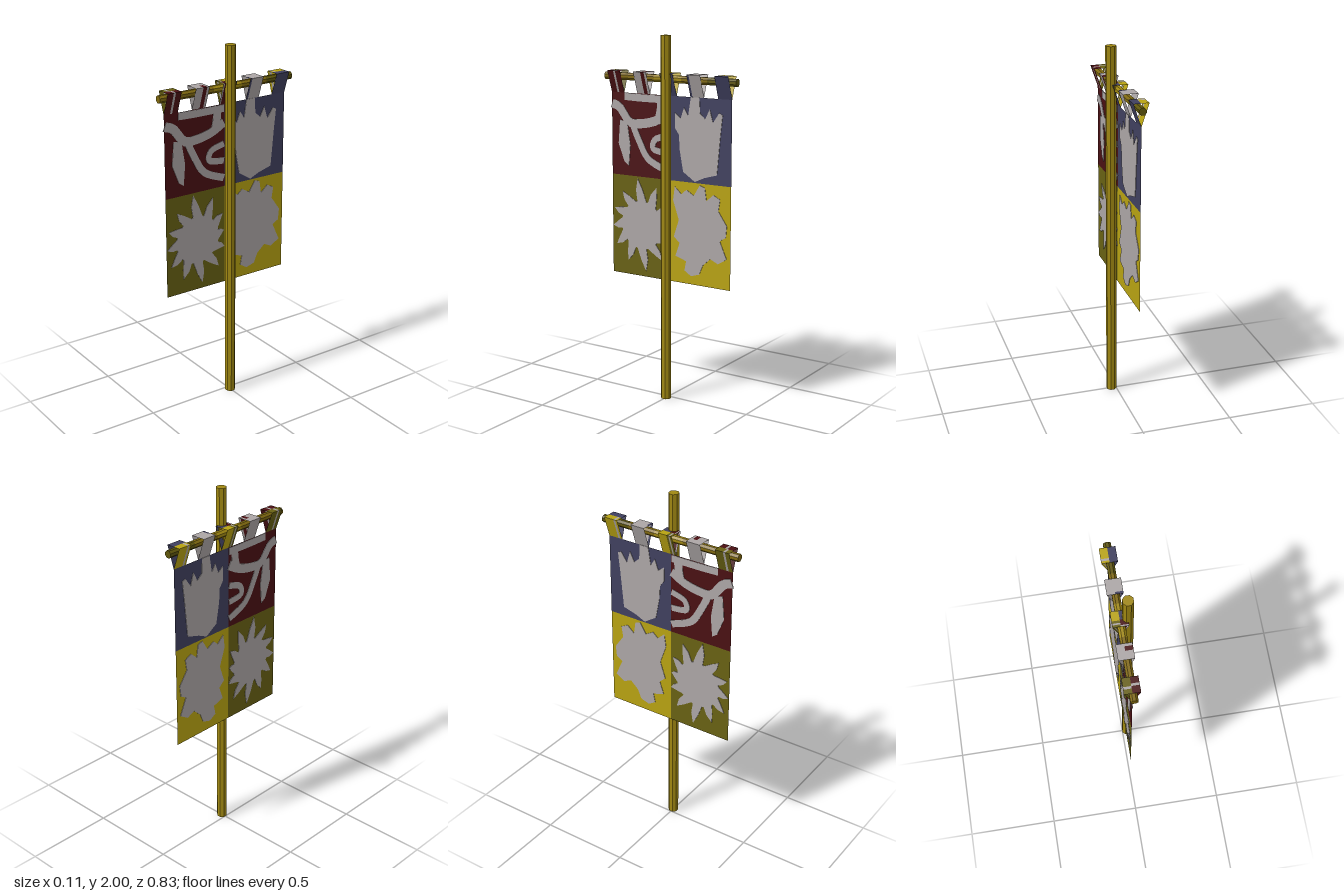
import * as THREE from 'three';

const paint = (name, color, side = THREE.DoubleSide) => {
  const m = new THREE.MeshStandardMaterial({ color, side });
  m.name = name;
  return m;
};

const CLOTH_X = -0.014, TOP = 1.8, CLOTH_TOP = 1.68, MIDDLE = 1.225, BOTTOM = 0.665;
const HALF = 0.383, SEAM = -0.01;

// Flat cloth outlines use (s, y) in hundredths of a unit; s runs towards -z.
const outline = (pts) => new THREE.Shape(pts.map(([s, y]) => new THREE.Vector2(s / 100, y / 100)));

// Outline of a curved band of constant width through the given points.
function ribbon(pts, width) {
  const curve = new THREE.SplineCurve(pts.map(([s, y]) => new THREE.Vector2(s, y)));
  const a = [], b = [];
  for (let i = 0; i <= 14; i++) {
    const p = curve.getPoint(i / 14), t = curve.getTangent(i / 14);
    a.push([p.x - t.y * width / 2, p.y + t.x * width / 2]);
    b.unshift([p.x + t.y * width / 2, p.y - t.x * width / 2]);
  }
  return outline([...a, ...b]);
}

// Sun disc with bent rays of varied length.
function sun(cx, cy, radius, lengths) {
  const pts = [], step = Math.PI * 2 / lengths.length;
  const at = (angle, r) => pts.push([cx + Math.cos(angle) * r, cy + Math.sin(angle) * r]);
  lengths.forEach((len, i) => {
    const a = i * step;
    at(a - step * 0.42, radius);
    at(a - step * 0.05, (radius + len) / 2);
    at(a + step * 0.2, len);
    at(a + step * 0.38, (radius + len) / 2);
    at(a + step * 0.42, radius);
  });
  return outline(pts);
}

export function createModel() {
  const model = new THREE.Group();
  model.name = 'bannerOnPole';
  const c = {
    red: paint('darkRed', 0x4a1013),
    blue: paint('slateBlue', 0x40405f),
    olive: paint('olive', 0x686113),
    yellow: paint('yellow', 0xb8a312),
    white: paint('paleGrey', 0xaca6a6),
    gold: paint('gold', 0xa08812, THREE.FrontSide),
    bronze: paint('bronze', 0x80690f, THREE.FrontSide),
    dark: paint('darkBronze', 0x5f560c, THREE.FrontSide),
  };
  const add = (name, geometry, material, parent = model) => {
    const mesh = new THREE.Mesh(geometry, material);
    mesh.name = name;
    parent.add(mesh);
    return mesh;
  };

  // Faceted octagonal rod with flat sides facing the axes.
  const rod = (apothem, length) => {
    const r = apothem / Math.cos(Math.PI / 8);
    const g = new THREE.CylinderGeometry(r, r, length, 8).rotateY(Math.PI / 8).toNonIndexed();
    g.computeVertexNormals();
    return g;
  };
  add('pole', rod(0.0265, 2), c.gold).position.set(0.0265, 1, 0);

  // Crossbar in toned lengths
  const crossbar = new THREE.Group();
  crossbar.name = 'crossbar';
  model.add(crossbar);
  [[-0.417, -0.245, c.dark], [-0.245, -0.085, c.bronze], [-0.085, 0.09, c.gold], [0.09, 0.417, c.bronze]]
    .forEach(([z0, z1, mat]) => {
      const g = rod(0.0195, z1 - z0).rotateX(Math.PI / 2);
      add('crossbarLength', g, mat, crossbar).position.set(-0.01, 1.769, (z0 + z1) / 2);
    });

  // Four cloth panels
  const cloth = new THREE.Group();
  cloth.name = 'cloth';
  model.add(cloth);
  const panel = (name, s0, s1, y0, y1, mat) => {
    const g = new THREE.PlaneGeometry(s1 - s0, y1 - y0).rotateY(Math.PI / 2);
    add(name, g, mat, cloth).position.set(CLOTH_X, (y0 + y1) / 2, -(s0 + s1) / 2);
  };
  panel('redPanel', -HALF, SEAM, MIDDLE, CLOTH_TOP, c.red);
  panel('bluePanel', SEAM, HALF, MIDDLE, CLOTH_TOP, c.blue);
  panel('olivePanel', -HALF, SEAM, BOTTOM, MIDDLE, c.olive);
  panel('yellowPanel', SEAM, HALF, BOTTOM, MIDDLE, c.yellow);

  // Pale emblems, showing on both faces of the cloth
  const depth = 0.005;
  const emblem = (name, shapes) => {
    const g = new THREE.ExtrudeGeometry(shapes, { depth, bevelEnabled: false });
    g.translate(0, 0, -depth / 2).rotateY(Math.PI / 2);
    add(name, g, c.white, cloth).position.x = CLOTH_X;
  };
  emblem('vineEmblem', [
    ribbon([[-38, 161.8], [-32.8, 159.7], [-26.5, 152.2], [-19, 151.7], [-9.5, 153.8], [-1.5, 158]], 5),
    ribbon([[-29.6, 166], [-19, 165.7], [-1.5, 165.7]], 4),
    ribbon([[-5.5, 166], [-6, 160], [-7.4, 154]], 5),
    ribbon([[-24.3, 151], [-20.1, 142.2], [-13.8, 132.6], [-1.5, 127.3]], 4),
    ribbon([[-1.5, 146.4], [-9.5, 143.8], [-10.6, 138.5], [-1.5, 137]], 3.5),
    outline([[-32.8, 153], [-28, 152], [-26, 139.5], [-27, 128], [-30, 130], [-33.9, 140]]),
  ]);
  emblem('castleEmblem', [outline([
    [15.9, 123.1], [8.5, 127.9], [6.3, 139.5], [5.8, 147.5], [3.2, 151.2], [3.2, 159.2], [6.9, 156.5],
    [9, 162.3], [11.6, 158.1], [13.2, 168], [18.5, 168], [19, 159.7], [22.2, 157], [24.9, 162.3],
    [27, 155.4], [30.7, 160.7], [32.8, 159.7], [31.7, 150.1], [30.7, 139.5], [29.6, 127.9], [21.7, 125.7],
  ])]);
  emblem('sunEmblem', [sun(-18.5, 95.5, 13.5, [17, 20, 24, 26, 22, 20, 19.5, 21, 23, 26, 23, 19])]);
  emblem('beastEmblem', [outline([
    [3.2, 119.4], [7.4, 115.6], [10.6, 118.3], [15.3, 115.6], [19, 121.5], [22.2, 120.4], [23.3, 113.5],
    [27.5, 117.2], [31.7, 115.1], [30.7, 108.8], [36, 101.3], [35.4, 95], [31.7, 92.8], [36, 83.3],
    [30.7, 80.1], [25.9, 82.2], [21.2, 78], [19, 72.7], [13.8, 71.1], [9.5, 73.7], [10.6, 79],
    [3.7, 81.2], [6.3, 88.6], [2.6, 91.8], [5.8, 101.3], [2.1, 111.9],
  ])]);

  // Hanging loops: each half rises from the cloth to a corner, then runs flat over the bar
  const strip = (dir, sA, sB) => {
    const path = [[CLOTH_X, CLOTH_TOP], [CLOTH_X + dir * 0.041, TOP], [CLOTH_X, TOP]];
    const pos = [], index = [];
    path.forEach(([x, y]) => pos.push(x, y, -sA, x, y, -sB));
    for (const k of [0, 2]) {
      if (dir > 0) index.push(k, k + 1, k + 3, k, k + 3, k + 2);
      else index.push(k, k + 3, k + 1, k, k + 2, k + 3);
    }
    const g = new THREE.BufferGeometry();
    g.setAttribute('position', new THREE.Float32BufferAttribute(pos, 3));
    g.setIndex(index);
    const flat = g.toNonIndexed();
    flat.computeVertexNormals();
    return flat;
  };
  // Colour bands across each loop: [colour, end of band as a fraction]
  const front = [
    [['red', 0.45], ['white', 0.6], ['red', 1]],
    [['white', 0.55], ['red', 0.82], ['white', 1]],
    [['white', 0.1], ['red', 0.45], ['blue', 1]],
    [['blue', 0.15], ['white', 1]],
    [['blue', 1]],
  ];
  const back = [
    [['olive', 0.3], ['white', 0.45], ['olive', 1]],
    [['white', 1]],
    [['olive', 0.15], ['white', 0.25], ['olive', 0.4], ['yellow', 1]],
    [['white', 1]],
    [['yellow', 0.15], ['white', 0.3], ['yellow', 1]],
  ];
  for (let i = 0; i < 5; i++) {
    const loop = new THREE.Group();
    loop.name = 'hangingLoop';
    model.add(loop);
    const s0 = (i - 2) * 0.1705 - 0.042;
    [[1, front[i]], [-1, back[i]]].forEach(([dir, bands]) => {
      let from = 0;
      for (const [colour, to] of bands) {
        add('loopBand', strip(dir, s0 + from * 0.084, s0 + to * 0.084), c[colour], loop);
        from = to;
      }
    });
  }
  return model;
}
